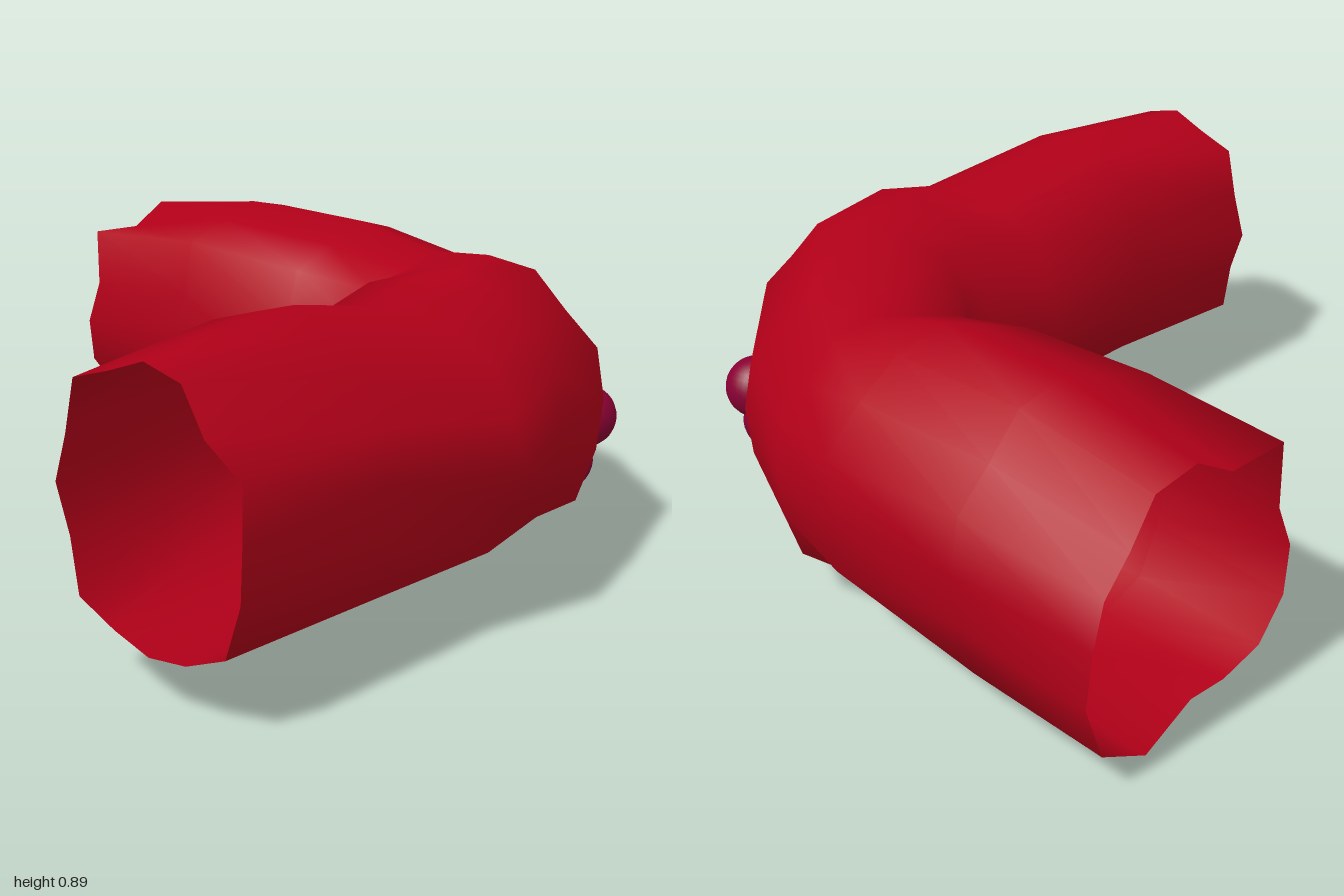
import * as THREE from 'three';

const SIDES = 16;

// Relative radii around a ragged section: outer side, top, inner side, bottom
const WALL = [0.98, 0.98, 0.9, 0.99, 1, 0.97, 1.1, 0.93, 1, 0.97, 1.02, 0.94, 0.98, 1.05, 1.13, 1.02];
const BACK_END = [0.92, 0.89, 0.85, 1, 1, 0.88, 1.19, 0.9, 0.97, 1, 0.97, 0.86, 0.8, 1.12, 1.18, 1.06];
const SIDE_END = [0.97, 1.05, 0.86, 1, 1, 0.95, 1.08, 0.94, 1, 0.92, 1.08, 0.98, 1, 1.03, 1.13, 1.03];
const BACK_BULGE = [0.95, 1.06, 0.97, 0.97, 1, 0.95, 1.05, 0.93, 1, 0.97, 1, 0.96, 1, 0.88, 0.87, 1.02];
const SIDE_BULGE = [1, 0.93, 1, 0.97, 1, 0.97, 1.06, 0.93, 1, 0.95, 1, 0.96, 1, 1, 1.02, 0.8];

// Cross-sections along the bend: inner x, z, outer x, z, bottom y, top y, radii
const RINGS = [
  [-1.0, 0.28, -1.0, 0.89, 0.15, 0.86, SIDE_END],
  [-0.5, 0.24, -0.5, 0.92, 0.14, 0.89, WALL],
  [-0.1, 0.2, -0.1, 1.0, 0.125, 0.815, SIDE_BULGE],
  [0.13, 0.22, 0.13, 0.95, 0.18, 0.86, WALL],
  [0.22, 0.22, 0.52, 0.83, 0.09, 0.855, WALL],
  [0.22, 0.15, 0.84, 0.46, 0.09, 0.8, WALL],
  [0.3, 0.13, 0.97, 0.13, 0.09, 0.76, WALL],
  [0.22, -0.13, 1.0, -0.13, 0.0, 0.82, BACK_BULGE],
  [0.24, -0.57, 0.98, -0.57, 0.05, 0.82, WALL],
  [0.26, -1.0, 0.96, -1.0, 0.06, 0.76, BACK_END],
];

// Open bent tube with an irregular, organic wall
function tubeGeometry() {
  const positions = [];
  const indices = [];
  RINGS.forEach(([ix, iz, ox, oz, y0, y1, radii], i) => {
    for (let j = 0; j < SIDES; j++) {
      const angle = (j / SIDES) * Math.PI * 2;
      const across = 0.5 + 0.5 * radii[j] * Math.cos(angle);
      const up = 0.5 + 0.5 * radii[j] * Math.sin(angle);
      positions.push(
        THREE.MathUtils.lerp(ix, ox, across),
        THREE.MathUtils.lerp(y0, y1, up),
        THREE.MathUtils.lerp(iz, oz, across),
      );
      if (i < RINGS.length - 1) {
        const a = i * SIDES + j;
        const b = i * SIDES + ((j + 1) % SIDES);
        indices.push(a, a + SIDES, b, b, a + SIDES, b + SIDES);
      }
    }
  });
  const geometry = new THREE.BufferGeometry();
  geometry.setAttribute('position', new THREE.Float32BufferAttribute(positions, 3));
  geometry.setIndex(indices);
  geometry.computeVertexNormals();
  return geometry;
}

export function createModel() {
  const model = new THREE.Group();
  model.name = 'bentTube';

  const wall = new THREE.MeshStandardMaterial({ color: 0xb00018, side: THREE.DoubleSide });
  const tube = new THREE.Mesh(tubeGeometry(), wall);
  tube.name = 'tubeWall';
  model.add(tube);

  // Cluster of small nodules on the outside of the elbow
  const cluster = new THREE.Group();
  cluster.name = 'noduleCluster';
  const purple = new THREE.MeshStandardMaterial({ color: 0x880033 });
  const ball = new THREE.SphereGeometry(0.09, 24, 16);
  [[0.64, 0.365, 0.69], [0.51, 0.27, 0.7], [0.625, 0.275, 0.635]].forEach((p, i) => {
    const nodule = new THREE.Mesh(ball, purple);
    nodule.name = `nodule${i + 1}`;
    nodule.position.set(...p);
    cluster.add(nodule);
  });
  model.add(cluster);
  return model;
}
